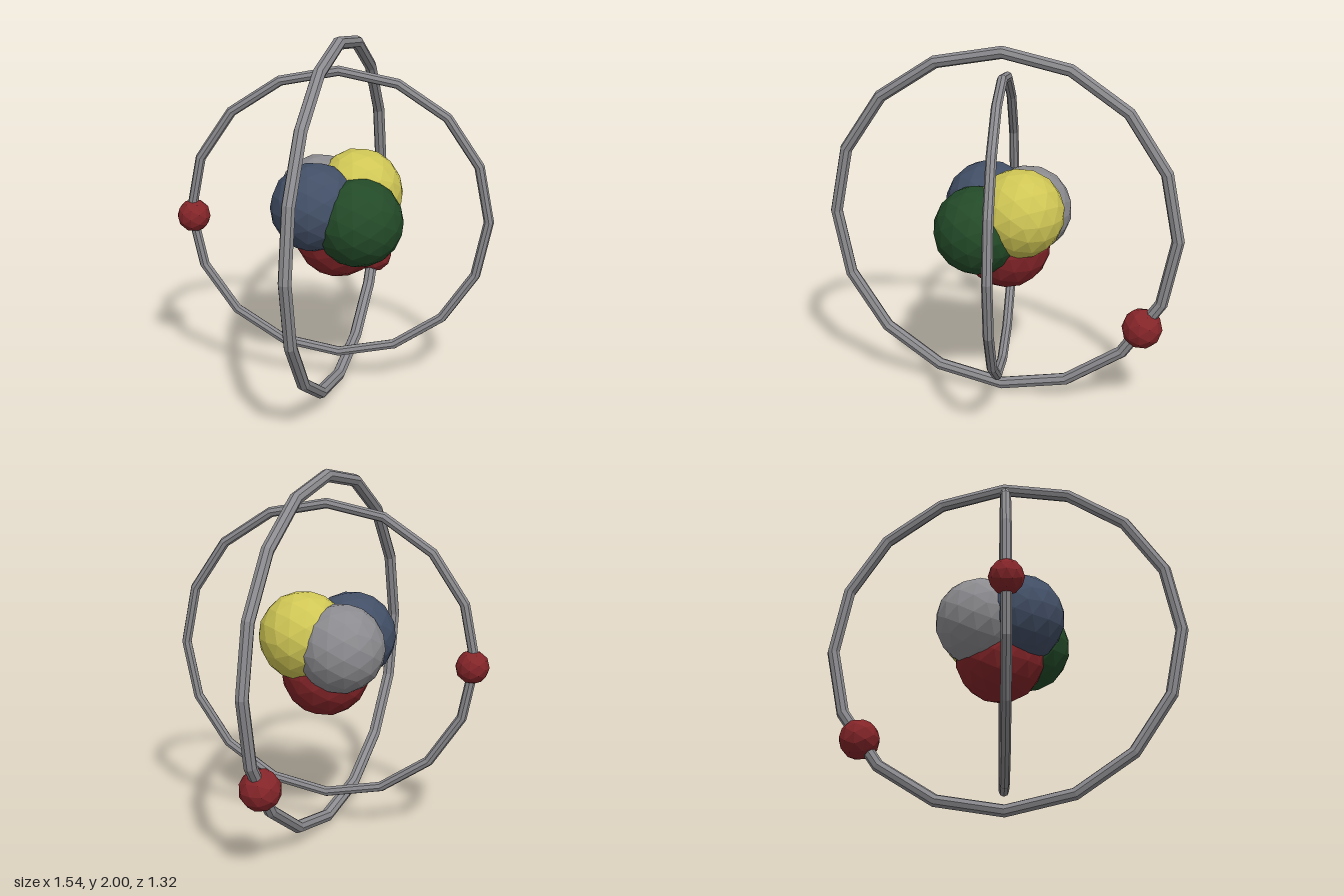
import * as THREE from 'three';

function material(name, color) {
  const m = new THREE.MeshStandardMaterial({ color, flatShading: true });
  m.name = name;
  return m;
}

export function createModel() {
  const model = new THREE.Group();
  model.name = 'atom';

  const grey = material('grey', 0x8c8c90);
  const red = material('dark red', 0x842529);
  const green = material('dark green', 0x234a28);
  const blue = material('slate blue', 0x424f66);
  const yellow = material('yellow', 0xcfc655);

  function addBall(parent, name, radius, detail, mat, position) {
    const ball = new THREE.Mesh(new THREE.IcosahedronGeometry(radius, detail), mat);
    ball.name = name;
    ball.position.set(...position);
    parent.add(ball);
  }

  // Nucleus: five overlapping balls
  const nucleus = new THREE.Group();
  nucleus.name = 'nucleus';
  model.add(nucleus);
  addBall(nucleus, 'frontBall', 0.243, 2, green, [0.015, 1.015, 0.17]);
  addBall(nucleus, 'leftBall', 0.243, 2, yellow, [0.145, 1.11, -0.015]);
  addBall(nucleus, 'rightBall', 0.243, 2, blue, [-0.145, 1.08, -0.015]);
  addBall(nucleus, 'bottomBall', 0.243, 2, red, [0.015, 0.895, -0.02]);
  addBall(nucleus, 'backBall', 0.243, 2, grey, [0, 1.06, -0.175]);

  // Two upright orbit rings crossing each other, each carrying one electron
  function addOrbit(name, radius, tube, turn, electronRadius, electronAngle) {
    const orbit = new THREE.Group();
    orbit.name = name;
    orbit.position.y = 1;
    orbit.rotation.y = turn;
    const ring = new THREE.Mesh(new THREE.TorusGeometry(radius, tube, 8, 16), grey);
    ring.name = name + 'Ring';
    orbit.add(ring);
    const r = radius * 0.985;
    addBall(orbit, name + 'Electron', electronRadius, 1, red,
      [r * Math.cos(electronAngle), r * Math.sin(electronAngle), 0]);
    model.add(orbit);
  }
  addOrbit('outerOrbit', 0.965, 0.035, 0.703, 0.113, -0.587);
  addOrbit('innerOrbit', 0.818, 0.028, -0.703, 0.092, Math.PI + 0.03);

  return model;
}
